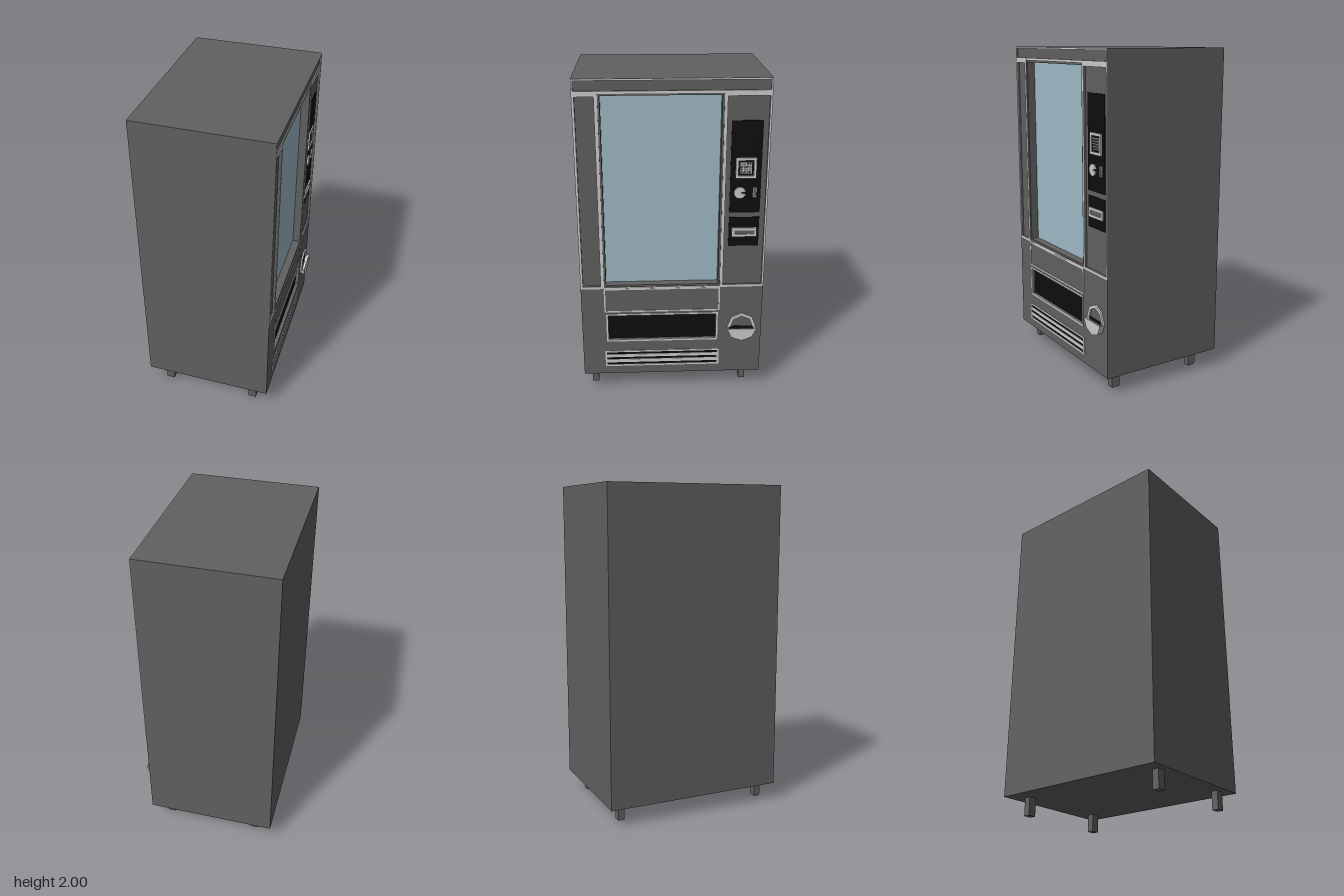
import * as THREE from 'three';

const mat = (color, extra = {}) => new THREE.MeshStandardMaterial({ color, flatShading: true, ...extra });

export function createModel() {
  const model = new THREE.Group();
  model.name = 'vendingMachine';
  const dark = mat(0x606060), light = mat(0xcccccc), black = mat(0x0e0e0e), pane = mat(0x9fbac6);
  const FACE = 0.388;

  // The door side is drawn in local x/y and turned to face +x (local x = -z)
  const door = new THREE.Group();
  door.name = 'door';
  door.rotation.y = Math.PI / 2;
  model.add(door);

  const add = (name, geo, material, parent = door) => {
    const mesh = new THREE.Mesh(geo, material);
    mesh.name = name;
    parent.add(mesh);
    return mesh;
  };
  // Rectangles are [x0, y0, x1, y1]
  const corners = ([a, b, c, d]) => [[a, b], [c, b], [c, d], [a, d]].map(p => new THREE.Vector2(...p));
  const inset = ([a, b, c, d], t) => [a + t, b + t, c - t, d - t];
  const slab = (name, points, holes, z0, z1, material) => {
    const shape = new THREE.Shape(points);
    holes.forEach(h => shape.holes.push(new THREE.Path(h)));
    const geo = new THREE.ExtrudeGeometry(shape, { depth: z1 - z0, bevelEnabled: false });
    geo.translate(0, 0, z0);
    return add(name, geo, material);
  };
  const plate = (name, r, z0, z1, material, holes = []) =>
    slab(name, corners(r), holes.map(corners), z0, z1, material);
  const frame = (name, r, t, z0, z1, material = light) => plate(name, r, z0, z1, material, [inset(r, t)]);

  // Cabinet behind the front plate
  const cabinet = add('cabinet', new THREE.BoxGeometry(0.75, 1.89, 1.12), dark, model);
  cabinet.position.set(-0.045, 1.055, 0);

  // Front plate with its openings
  const windowHole = [-0.417, 0.725, 0.292, 1.917];
  const header = [-0.55, 1.932, 0.55, 1.99];
  const sidePanel = [-0.545, 0.73, -0.437, 1.9];
  const controlPanel = [0.31, 0.73, 0.548, 1.9];
  const flap = [-0.398, 0.357, 0.273, 0.528];
  plate('frontPlate', [-0.56, 0.11, 0.56, 2], 0.33, FACE, dark,
    [windowHole, header, sidePanel, controlPanel, flap]);

  // Pale trim around the window, header and side panels
  plate('upperTrim', [-0.56, 0.715, 0.56, 2], FACE, 0.39, light,
    [windowHole, header, sidePanel, controlPanel]);
  plate('headerPanel', header, 0.33, 0.38, dark);
  plate('sidePanel', sidePanel, 0.33, 0.375, dark);
  plate('controlPanel', controlPanel, 0.33, 0.375, dark);

  // Recessed window
  frame('windowSurround', windowHole, 0.012, 0.33, 0.384, dark);
  plate('windowPane', inset(windowHole, 0.012), 0.33, 0.335, pane);

  // Collection flap and the outlined panel above it
  plate('collectionFlap', flap, 0.33, 0.372, black);
  frame('flapFrame', inset(flap, -0.012), 0.012, FACE, 0.392);
  frame('lowerPanelFrame', [-0.42, 0.553, 0.295, 0.715], 0.009, FACE, 0.391);

  // Ventilation grille
  const slots = [0.176, 0.214, 0.25].map(y => [-0.413, y, 0.285, y + 0.016]);
  plate('grille', [-0.423, 0.165, 0.297, 0.276], FACE, 0.392, light, slots);
  slots.forEach(s => plate('grilleSlot', s, FACE, 0.389, black));

  // Black control plates
  plate('keypadPlate', [0.337, 1.2, 0.518, 1.757], 0.375, 0.379, black);
  plate('notePlate', [0.337, 0.985, 0.518, 1.17], 0.375, 0.379, black);

  // Keypad
  frame('keypadFrame', [0.367, 1.414, 0.488, 1.538], 0.016, 0.379, 0.387);
  plate('keypadBase', [0.394, 1.443, 0.461, 1.509], 0.379, 0.381, light);
  for (let i = 0; i < 4; i++) for (let j = 0; j < 4; j++) {
    const x = 0.398 + i * 0.0158, y = 1.447 + j * 0.0155;
    plate('key', [x, y, x + 0.0115, y + 0.0115], 0.381, 0.385, dark);
  }

  // Coin dial with a notch, coin slot and note slot
  const dial = [[0, 0]];
  for (let i = 0; i <= 10; i++) {
    const a = 0.25 + i * (Math.PI * 2 - 0.5) / 10;
    dial.push([Math.cos(a) * 0.036, Math.sin(a) * 0.036]);
  }
  slab('coinDial', dial.map(([x, y]) => new THREE.Vector2(x + 0.396, y + 1.325)), [], 0.379, 0.387, light);
  frame('coinSlot', [0.472, 1.296, 0.494, 1.356], 0.005, 0.379, 0.387);
  plate('coinSlotInside', [0.477, 1.301, 0.489, 1.351], 0.379, 0.381, dark);
  const note = [0.355, 1.047, 0.504, 1.104];
  frame('noteSlot', note, 0.016, 0.379, 0.388);
  plate('noteSlotInside', inset(note, 0.016), 0.379, 0.381, dark);

  // Change cup: half ring above, hollow scoop below
  const cx = 0.435, cy = 0.432;
  const arc = (rx, ry, from, to) => [0, 1, 2, 3, 4].map(i => {
    const a = from + (to - from) * i / 4;
    return new THREE.Vector2(cx + Math.cos(a) * rx, cy + Math.sin(a) * ry);
  });
  const rim = (rx, ry, t, from, to) => [...arc(rx, ry, from, to), ...arc(rx - t, ry - t, to, from)];
  slab('changeRing', rim(0.092, 0.1, 0.021, 0, Math.PI), [], FACE, 0.398, light);
  plate('changeOpening', [cx - 0.075, cy - 0.012, cx + 0.075, cy + 0.006], FACE, 0.39, black);
  slab('changeCupWall', rim(0.092, 0.083, 0.01, Math.PI, Math.PI * 2), [], FACE, 0.414, light);
  slab('changeCupFront', arc(0.092, 0.083, Math.PI, Math.PI * 2), [], 0.414, 0.42, light);

  // Four legs
  for (const x of [-0.297, 0.28]) for (const z of [0.495, -0.46]) {
    const leg = add('leg', new THREE.BoxGeometry(0.052, 0.115, 0.04), dark, model);
    leg.position.set(x, 0.0575, z);
  }
  return model;
}
